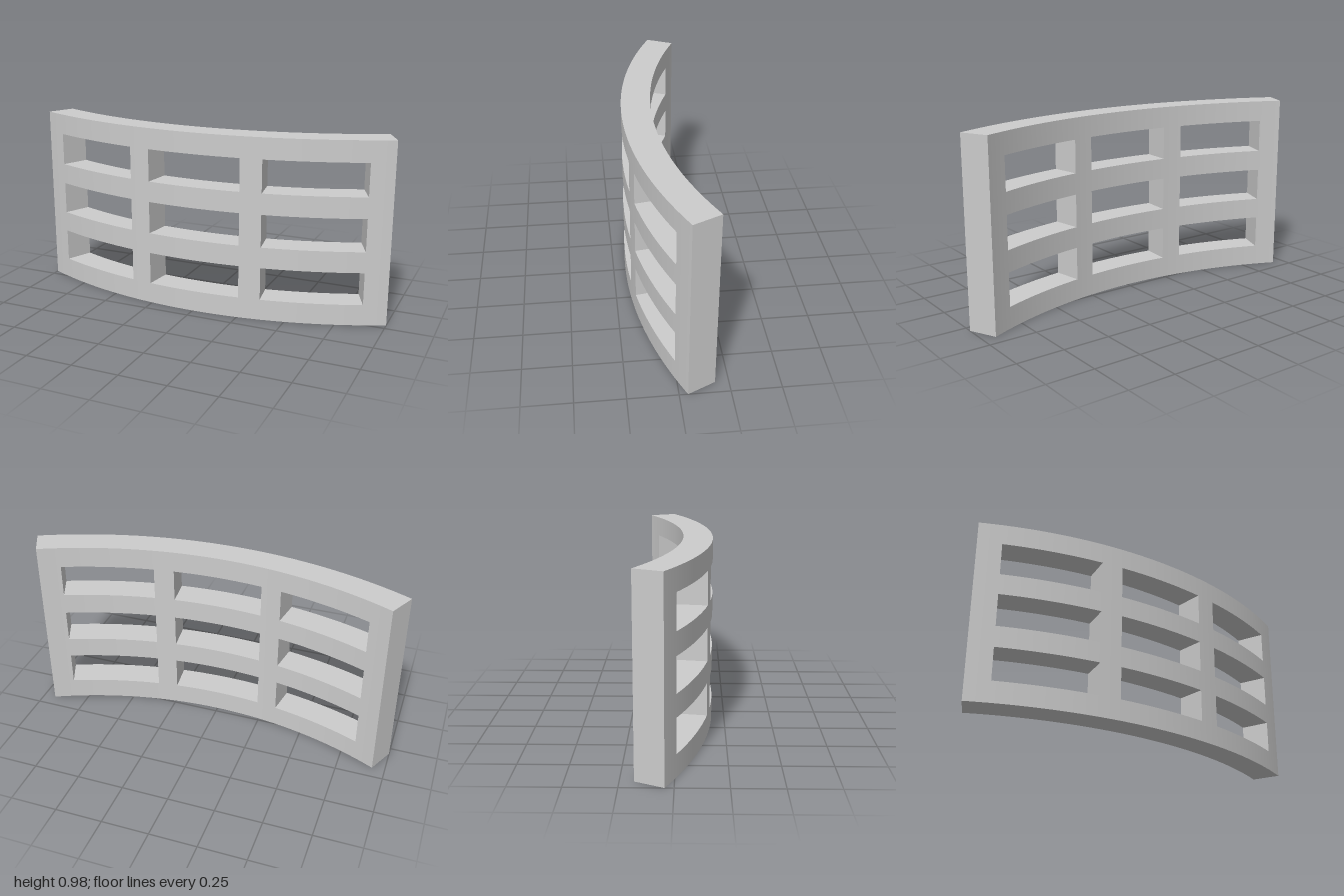
import * as THREE from 'three';

// Curved slab with a 3 x 3 grid of openings, bent around a vertical axis
const OUTER = 2.325, INNER = 2.17, AXIS_Z = -2.142;
const BAR = 0.1125, OPENING = 0.175; // heights of rails and openings
const deg = Math.PI / 180;
const EDGES = [-25.47, -22.36, -9.23, -6.37, 6.37, 9.23, 22.36, 25.47].map((d) => d * deg);

function createPanelGeometry() {
  const positions = [], normals = [];
  const point = (a, r, y) => [Math.sin(a) * r, y, Math.cos(a) * r + AXIS_Z];
  const radial = (a, s) => [Math.sin(a) * s, 0, Math.cos(a) * s];
  const tangent = (a, s) => [Math.cos(a) * s, 0, -Math.sin(a) * s];

  // Corners counter-clockwise, with one normal per corner
  const quad = (corners, cornerNormals) => {
    for (const i of [0, 1, 2, 0, 2, 3]) {
      positions.push(...corners[i]);
      normals.push(...cornerNormals[i]);
    }
  };

  // Row boundaries: rail, opening, rail, opening, ...
  const levels = [0];
  for (let i = 0; i < 7; i++) levels.push(levels[i] + (i % 2 ? OPENING : BAR));

  const solid = (c, r) => c >= 0 && c < 7 && r >= 0 && r < 7 && (c % 2 === 0 || r % 2 === 0);

  for (let c = 0; c < 7; c++) {
    const steps = c % 2 ? 10 : 3;
    for (let r = 0; r < 7; r++) {
      if (!solid(c, r)) continue;
      const y0 = levels[r], y1 = levels[r + 1];

      for (let s = 0; s < steps; s++) {
        const a = THREE.MathUtils.lerp(EDGES[c], EDGES[c + 1], s / steps);
        const b = THREE.MathUtils.lerp(EDGES[c], EDGES[c + 1], (s + 1) / steps);
        // Convex front and concave back
        quad([point(a, OUTER, y0), point(b, OUTER, y0), point(b, OUTER, y1), point(a, OUTER, y1)],
          [radial(a, 1), radial(b, 1), radial(b, 1), radial(a, 1)]);
        quad([point(b, INNER, y0), point(a, INNER, y0), point(a, INNER, y1), point(b, INNER, y1)],
          [radial(b, -1), radial(a, -1), radial(a, -1), radial(b, -1)]);
        // Upper and lower faces where the neighbouring cell is open
        if (!solid(c, r + 1)) {
          quad([point(a, OUTER, y1), point(b, OUTER, y1), point(b, INNER, y1), point(a, INNER, y1)],
            Array(4).fill([0, 1, 0]));
        }
        if (!solid(c, r - 1)) {
          quad([point(a, INNER, y0), point(b, INNER, y0), point(b, OUTER, y0), point(a, OUTER, y0)],
            Array(4).fill([0, -1, 0]));
        }
      }

      // Radial end faces and opening jambs
      const a = EDGES[c], b = EDGES[c + 1];
      if (!solid(c + 1, r)) {
        quad([point(b, OUTER, y0), point(b, INNER, y0), point(b, INNER, y1), point(b, OUTER, y1)],
          Array(4).fill(tangent(b, 1)));
      }
      if (!solid(c - 1, r)) {
        quad([point(a, INNER, y0), point(a, OUTER, y0), point(a, OUTER, y1), point(a, INNER, y1)],
          Array(4).fill(tangent(a, -1)));
      }
    }
  }

  const geometry = new THREE.BufferGeometry();
  geometry.setAttribute('position', new THREE.Float32BufferAttribute(positions, 3));
  geometry.setAttribute('normal', new THREE.Float32BufferAttribute(normals, 3));
  return geometry;
}

export function createModel() {
  const group = new THREE.Group();
  group.name = 'curvedLatticePanel';
  const lightGrey = new THREE.MeshStandardMaterial({ color: 0xcccccc });
  lightGrey.name = 'lightGrey';
  const panel = new THREE.Mesh(createPanelGeometry(), lightGrey);
  panel.name = 'latticePanel';
  group.add(panel);
  return group;
}
